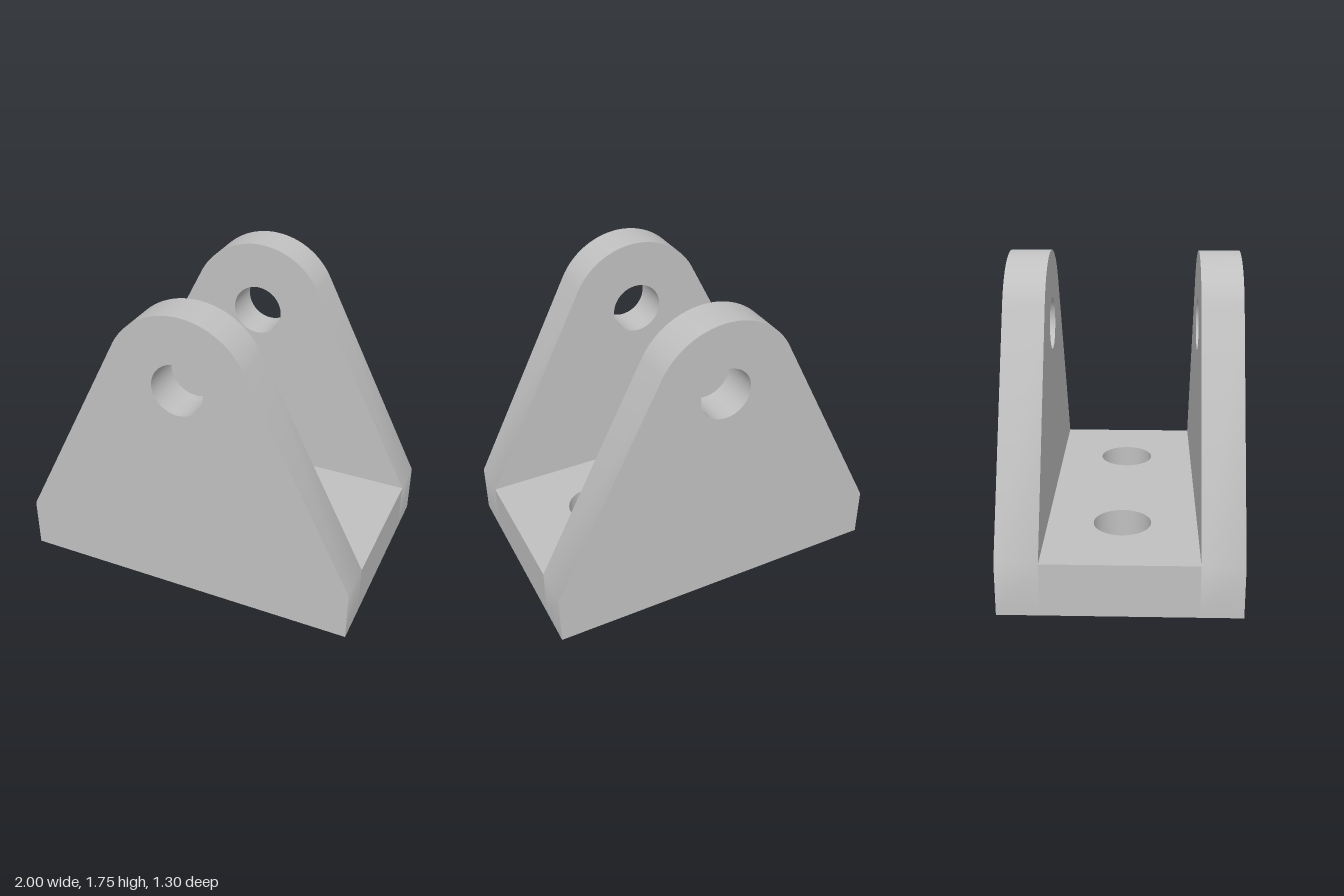
import * as THREE from 'three';
import { toCreasedNormals } from 'three/addons/utils/BufferGeometryUtils.js';

const BASE_H = 0.3, INNER_Z = 0.42, OUTER_Z = 0.65;
const PIN_Y = 1.33, PIN_R = 0.15, EYE_R = 0.42, BOLT_X = 0.5, BOLT_R = 0.162;

function addHole(shape, x, y, r) {
  const hole = new THREE.Path();
  hole.absarc(x, y, r, 0, Math.PI * 2, true);
  shape.holes.push(hole);
}

function extrude(shape, depth) {
  const geometry = new THREE.ExtrudeGeometry(shape, { depth, bevelEnabled: false, curveSegments: 32 });
  return toCreasedNormals(geometry, 0.5);
}

export function createModel() {
  const group = new THREE.Group();
  group.name = 'clevisBracket';
  const steel = new THREE.MeshStandardMaterial({ color: 0xc0c0c0 });
  steel.name = 'grey steel';

  // Side plate: straight foot, sloping edges tangent to a rounded eye
  const dy = BASE_H - PIN_Y;
  const tangent = Math.atan2(dy, 1) + Math.acos(EYE_R / Math.hypot(1, dy));
  const plate = new THREE.Shape();
  plate.moveTo(-1, 0);
  plate.lineTo(1, 0);
  plate.lineTo(1, BASE_H);
  plate.absarc(0, PIN_Y, EYE_R, tangent, Math.PI - tangent, false);
  plate.lineTo(-1, BASE_H);
  plate.closePath();
  addHole(plate, 0, PIN_Y, PIN_R);
  const plateGeometry = extrude(plate, OUTER_Z - INNER_Z);

  for (const [name, z] of [['frontPlate', INNER_Z], ['backPlate', -OUTER_Z]]) {
    const mesh = new THREE.Mesh(plateGeometry, steel);
    mesh.name = name;
    mesh.position.z = z;
    group.add(mesh);
  }

  // Base web between the plates, with two bolt holes
  const web = new THREE.Shape();
  web.moveTo(-1, -INNER_Z);
  web.lineTo(1, -INNER_Z);
  web.lineTo(1, INNER_Z);
  web.lineTo(-1, INNER_Z);
  web.closePath();
  for (const side of [-1, 1]) addHole(web, side * BOLT_X, 0, BOLT_R);
  const base = new THREE.Mesh(extrude(web, BASE_H).rotateX(-Math.PI / 2), steel);
  base.name = 'base';
  group.add(base);

  return group;
}
